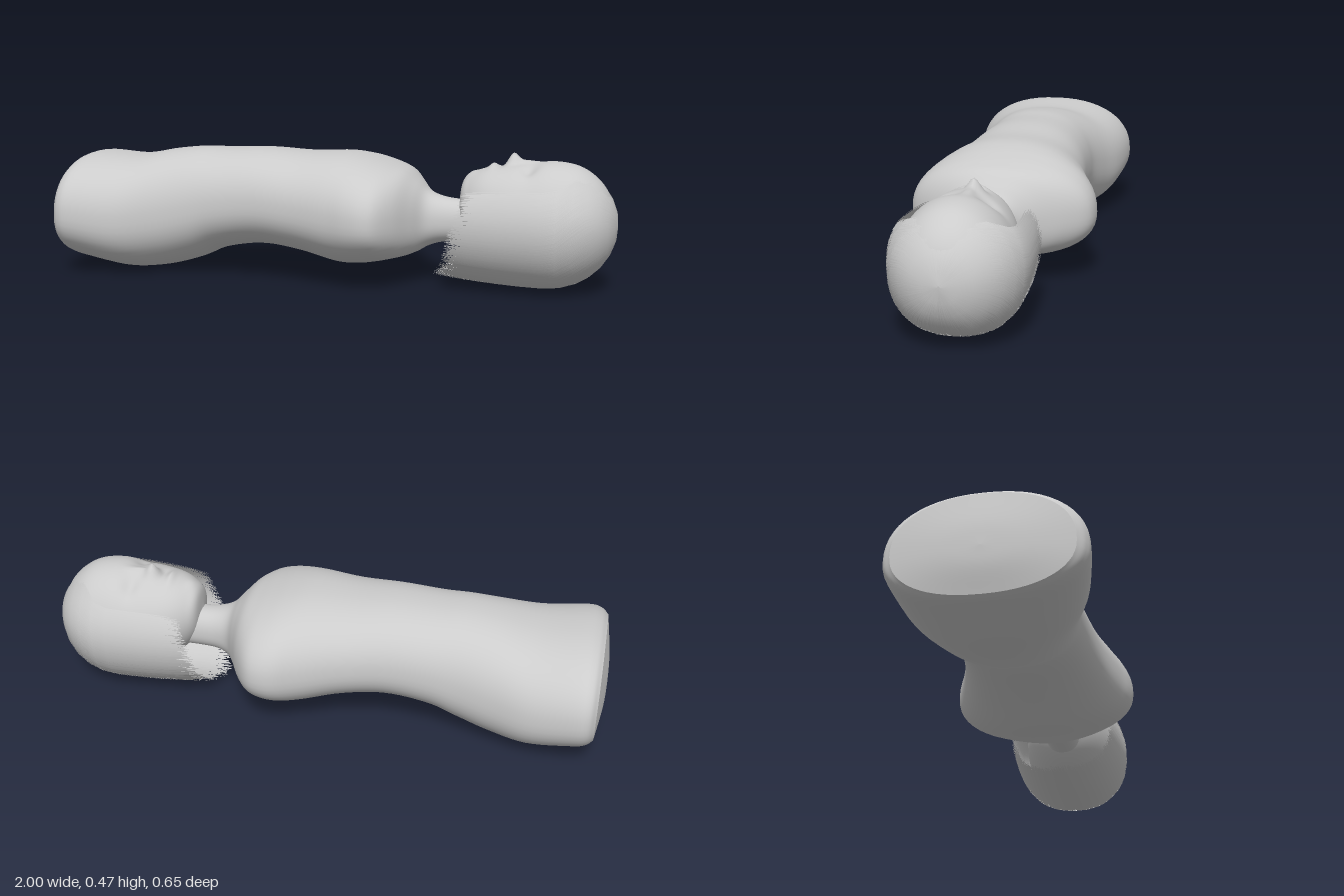
import * as THREE from 'three';

const grey = new THREE.MeshStandardMaterial({ color: 0xcccccc });
const hairGrey = new THREE.MeshStandardMaterial({ color: 0xcccccc, side: THREE.DoubleSide });

function addMesh(group, name, positions, index, material) {
  const geometry = new THREE.BufferGeometry();
  geometry.setAttribute('position', new THREE.Float32BufferAttribute(positions, 3));
  geometry.setIndex(index);
  geometry.computeVertexNormals();
  const mesh = new THREE.Mesh(geometry, material);
  mesh.name = name;
  group.add(mesh);
}

// Smooth skin along x through sections [x, yLow, yHigh, zMin, zMax];
// power > 2 squares the section, shape() may move each point
function loft(group, name, sections, { power = 2, rings = 80, sides = 56, waist = 0.5, shape } = {}) {
  const low = new THREE.CatmullRomCurve3(
    sections.map(([x, y, , z]) => new THREE.Vector3(x, y, z)), false, 'catmullrom');
  const high = new THREE.CatmullRomCurve3(
    sections.map(([x, , y, , z]) => new THREE.Vector3(x, y, z)), false, 'catmullrom');
  const positions = [], index = [], p = new THREE.Vector3();
  const curve = (v) => Math.sign(v) * Math.abs(v) ** (2 / power);
  for (let i = 0; i <= rings; i++) {
    const a = low.getPoint(i / rings), b = high.getPoint(i / rings);
    const yMid = a.y + (b.y - a.y) * waist, zMid = (a.z + b.z) / 2;
    for (let j = 0; j < sides; j++) {
      const angle = (j / sides) * Math.PI * 2;
      const c = curve(Math.cos(angle)), s = curve(Math.sin(angle));
      p.set(a.x, yMid + c * (c > 0 ? b.y - yMid : yMid - a.y), zMid + s * (b.z - a.z) / 2);
      if (shape) shape(p, c);
      positions.push(p.x, p.y, p.z);
      if (i === rings) continue;
      const k = i * sides + j, n = i * sides + (j + 1) % sides;
      index.push(k, n, k + sides, n, n + sides, k + sides);
    }
  }
  addMesh(group, name, positions, index, grey);
}

// Face relief: [x, z, height, radius along x, radius along z]
const features = [
  [0.635, -0.02, 0.036, 0.022, 0.026], // nose tip
  [0.68, -0.015, 0.014, 0.045, 0.016], // nose bridge
  [0.568, -0.01, 0.012, 0.013, 0.04], // lips
  [0.495, 0, 0.008, 0.02, 0.04], // chin
  [0.70, 0.065, -0.014, 0.026, 0.034], // eye sockets
  [0.70, -0.085, -0.014, 0.026, 0.034],
  [0.60, 0, -0.006, 0.012, 0.03], // under the nose
];
function sculptFace(p, up) {
  if (up <= 0) return;
  const { x, z } = p;
  for (const [fx, fz, h, rx, rz] of features) {
    p.y += h * Math.exp(-(((x - fx) / rx) ** 2) - ((z - fz) / rz) ** 2) * Math.min(1, up * 2);
  }
}

function seeded(seed) {
  return () => {
    seed = (seed * 1664525 + 1013904223) % 4294967296;
    return seed / 4294967296;
  };
}

// Thin ribbons run from the crown over the skull, part around the face, then hang along -x
function addHair(group) {
  const random = seeded(7);
  const positions = [], index = [];
  const strands = 3200, arcSteps = 7, steps = 11;
  for (let n = 0; n < strands; n++) {
    const start = (random() * 2 - 1) * Math.PI; // 0 points to the back of the head
    const side = Math.abs(start) / Math.PI;
    const layer = 0.94 + 0.06 * random();
    const sway = (random() - 0.5) * 0.1;
    const endX = 0.41 + 0.13 * side + (random() - 0.5) * 0.1;
    for (let i = 0; i <= steps; i++) {
      const arc = Math.min(i / arcSteps, 1) * Math.PI / 2;
      const fall = Math.max(0, (i - arcSteps) / (steps - arcSteps));
      const arcX = 0.995 - 0.235 * (1 - Math.cos(arc));
      const x = THREE.MathUtils.lerp(arcX, endX, fall);
      const part = THREE.MathUtils.smoothstep(0.97 - x, 0, 0.19);
      const angle = start * (1 - 0.31 * part) + sway * Math.sin(arc);
      const r = (0.02 + 0.98 * Math.sin(arc)) * layer * (1 - 0.1 * fall * fall);
      const c = Math.cos(angle), s = Math.sin(angle);
      const square = (Math.abs(c) ** 2.3 + Math.abs(s) ** 2.3) ** (-1 / 2.3);
      const y = 0.235 - c * square * r * (c > 0 ? 0.222 : 0.21);
      const z = s * square * r * 0.22;
      const w = 0.0017 * (i === steps ? 0.3 : 1);
      positions.push(x, y - s * w, z - c * w, x, y + s * w, z + c * w);
      if (i === steps) continue;
      const k = (n * (steps + 1) + i) * 2;
      index.push(k, k + 2, k + 1, k + 1, k + 2, k + 3);
    }
  }
  addMesh(group, 'hair', positions, index, hairGrey);
}

export function createModel() {
  const model = new THREE.Group();
  model.name = 'lyingFigure';

  // Torso from hips through waist and shoulders into the neck
  const rim = [-0.975, 0.06, 0.40, -0.27, 0.29];
  loft(model, 'torsoAndNeck', [
    rim,
    [-0.95, 0.048, 0.418, -0.297, 0.315],
    [-0.90, 0.035, 0.426, -0.302, 0.322],
    [-0.75, 0.006, 0.42, -0.28, 0.295],
    [-0.62, 0.016, 0.442, -0.245, 0.252],
    [-0.50, 0.05, 0.455, -0.222, 0.228],
    [-0.40, 0.092, 0.455, -0.22, 0.22],
    [-0.25, 0.115, 0.46, -0.227, 0.225],
    [-0.10, 0.10, 0.453, -0.25, 0.247],
    [0.04, 0.07, 0.457, -0.295, 0.285],
    [0.12, 0.07, 0.447, -0.325, 0.31],
    [0.18, 0.08, 0.432, -0.325, 0.317],
    [0.225, 0.09, 0.418, -0.30, 0.30],
    [0.27, 0.10, 0.40, -0.235, 0.24],
    [0.31, 0.115, 0.365, -0.155, 0.16],
    [0.345, 0.135, 0.33, -0.098, 0.10],
    [0.39, 0.15, 0.312, -0.073, 0.075],
    [0.45, 0.155, 0.304, -0.066, 0.068],
    [0.54, 0.155, 0.304, -0.066, 0.068],
  ], { power: 2.25, rings: 108, waist: 0.45 });

  // Slightly domed end below the hips
  loft(model, 'torsoEnd', [
    [-1, 0.21, 0.21, 0.01, 0.01],
    [-0.995, 0.142, 0.292, -0.11, 0.13],
    rim,
  ], { power: 2.25, rings: 10, waist: 0.45 });

  // Head lying on its back, face up
  loft(model, 'head', [
    [0.458, 0.30, 0.30, 0.005, 0.005],
    [0.468, 0.22, 0.372, -0.066, 0.072],
    [0.50, 0.165, 0.398, -0.104, 0.112],
    [0.55, 0.12, 0.42, -0.137, 0.145],
    [0.62, 0.08, 0.43, -0.162, 0.17],
    [0.70, 0.05, 0.437, -0.176, 0.184],
    [0.78, 0.04, 0.448, -0.18, 0.186],
    [0.86, 0.052, 0.435, -0.17, 0.174],
    [0.92, 0.085, 0.398, -0.139, 0.142],
    [0.96, 0.135, 0.348, -0.094, 0.096],
    [0.982, 0.19, 0.285, -0.044, 0.046],
    [0.988, 0.237, 0.237, 0, 0],
  ], { rings: 110, sides: 96, shape: sculptFace });

  addHair(model);
  return model;
}
